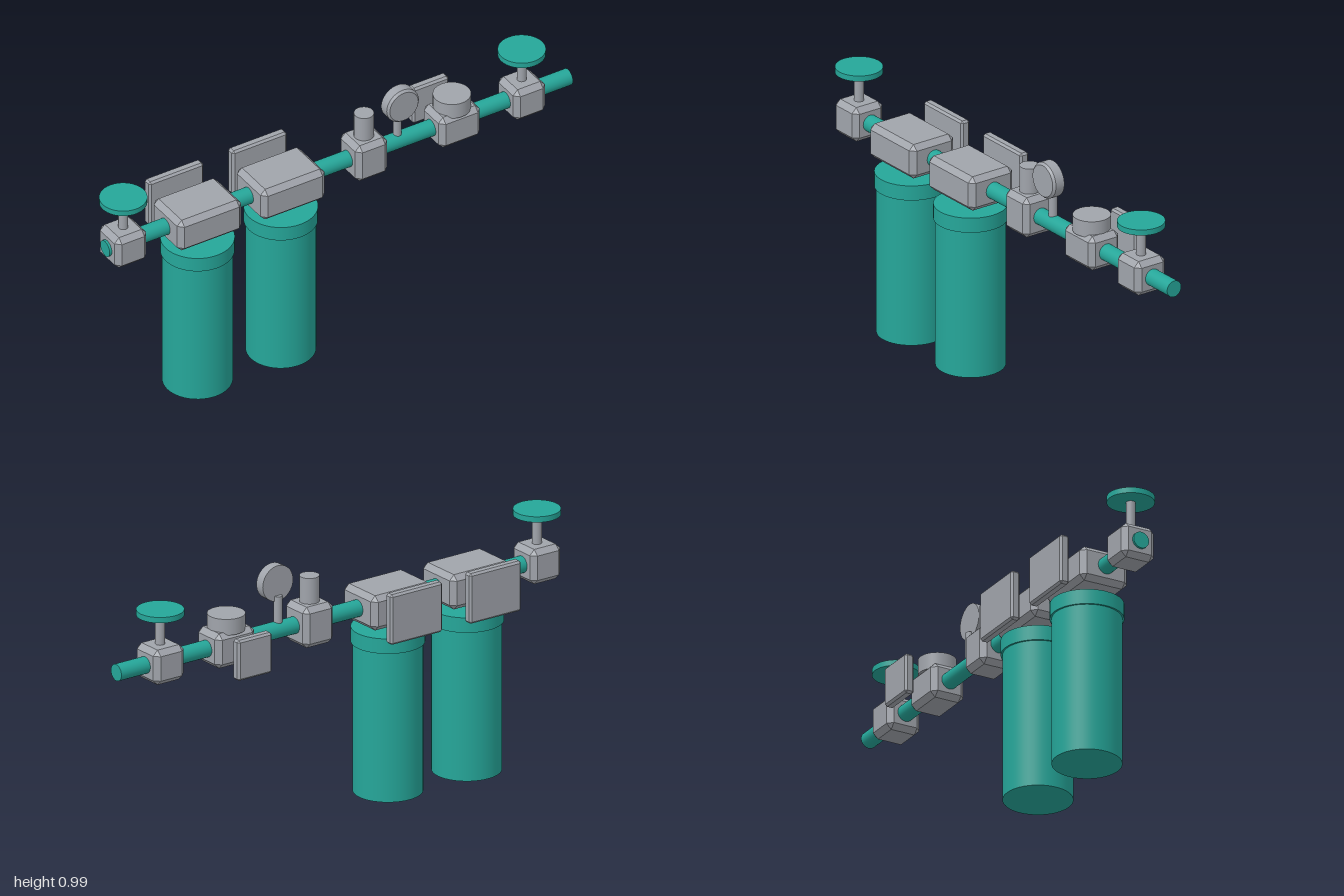
import * as THREE from 'three';
import { ConvexGeometry } from 'three/addons/geometries/ConvexGeometry.js';

const AXIS_Y = 0.738, AXIS_Z = 0.022;

// Box with flat chamfers on every edge and corner
function chamferBox(w, h, d, c) {
  const half = [w / 2, h / 2, d / 2], points = [];
  for (let axis = 0; axis < 3; axis++)
    for (const sx of [-1, 1]) for (const sy of [-1, 1]) for (const sz of [-1, 1]) {
      const p = [sx, sy, sz].map((s, i) => s * (half[i] - (i === axis ? 0 : c)));
      points.push(new THREE.Vector3(...p));
    }
  return new ConvexGeometry(points);
}

export function createModel() {
  const model = new THREE.Group();
  model.name = 'filterLine';
  const teal = new THREE.MeshStandardMaterial({ color: 0x25a699 });
  teal.name = 'teal';
  const grey = new THREE.MeshStandardMaterial({ color: 0xa0a4ab });
  grey.name = 'grey';

  function add(parent, name, geometry, material, x, y, z = AXIS_Z) {
    const mesh = new THREE.Mesh(geometry, material);
    mesh.name = name;
    mesh.position.set(x, y, z);
    parent.add(mesh);
    return mesh;
  }
  // Upright cylinder between two heights
  const post = (parent, name, r, y0, y1, material, x, sides = 40) =>
    add(parent, name, new THREE.CylinderGeometry(r, r, y1 - y0, sides), material, x, (y0 + y1) / 2);
  const group = (name) => {
    const g = new THREE.Group();
    g.name = name;
    model.add(g);
    return g;
  };

  // Main pipe along x
  const pipe = add(model, 'pipe', new THREE.CylinderGeometry(0.032, 0.032, 1.99, 32), teal, 0.005, AXIS_Y);
  pipe.rotation.z = Math.PI / 2;

  // Shut-off valves at both ends
  for (const x of [-0.912, 0.8]) {
    const valve = group('shutOffValve');
    add(valve, 'valveBody', chamferBox(0.137, 0.135, 0.137, 0.02), grey, x, AXIS_Y);
    post(valve, 'valveStem', 0.018, 0.79, 0.92, grey, x, 20);
    post(valve, 'handwheel', 0.088, 0.918, 0.94, teal, x);
  }

  // Two filters with head, bowl and wall bracket
  for (const x of [-0.593, -0.235]) {
    const filter = group('filter');
    add(filter, 'filterHead', chamferBox(0.275, 0.135, 0.198, 0.02), grey, x, AXIS_Y);
    post(filter, 'bowlCollar', 0.136, 0.58, 0.638, teal, x, 48);
    post(filter, 'bowl', 0.129, 0, 0.58, teal, x, 48);
    add(filter, 'wallBracket', chamferBox(0.235, 0.195, 0.038, 0.008), grey, x, 0.738, -0.137);
  }

  // Solenoid valve
  const solenoid = group('solenoidValve');
  add(solenoid, 'solenoidBody', chamferBox(0.137, 0.158, 0.137, 0.02), grey, 0.122, AXIS_Y);
  post(solenoid, 'solenoidCoil', 0.037, 0.81, 0.917, grey, 0.122, 24);

  // Pressure gauge facing the front, with a bevelled front rim
  const gauge = group('pressureGauge');
  post(gauge, 'gaugeStem', 0.016, 0.745, 0.87, grey, 0.265, 20);
  const profile = [[0, 0], [0.069, 0], [0.069, 0], [0.069, 0.038], [0.069, 0.038],
    [0.061, 0.047], [0.061, 0.047], [0, 0.047]].map(([r, h]) => new THREE.Vector2(r, h));
  const dial = add(gauge, 'gaugeDial', new THREE.LatheGeometry(profile, 40), grey, 0.265, 0.917, 0.022);
  dial.rotation.x = Math.PI / 2;

  // Pressure regulator with cap and bracket
  const regulator = group('regulator');
  add(regulator, 'regulatorBody', chamferBox(0.178, 0.135, 0.137, 0.02), grey, 0.5, AXIS_Y);
  post(regulator, 'regulatorCap', 0.07, 0.795, 0.857, grey, 0.5);
  add(regulator, 'wallBracket', chamferBox(0.155, 0.157, 0.038, 0.008), grey, 0.5, 0.738, -0.137);

  return model;
}
